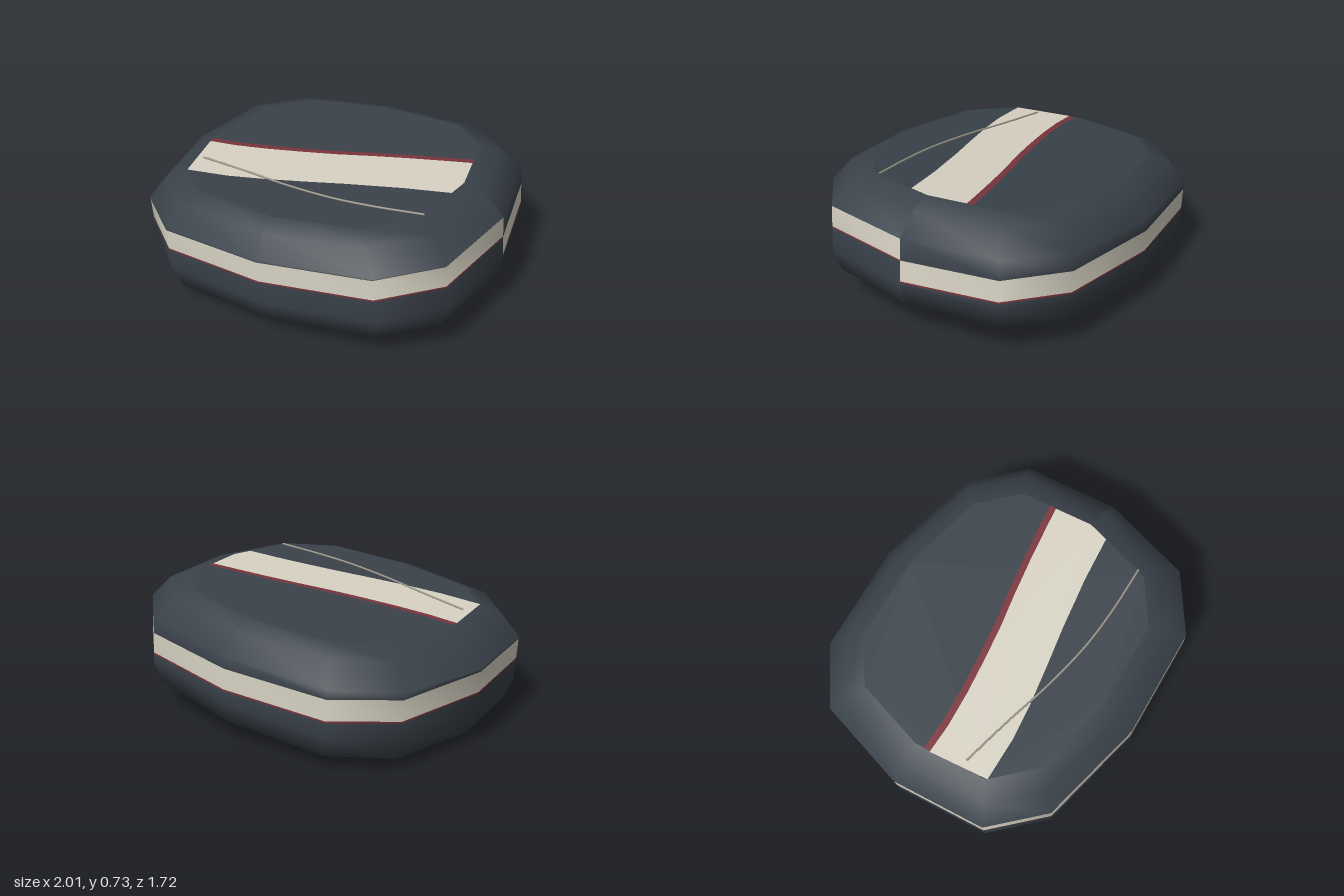
import * as THREE from 'three';

const material = (name, color, side = THREE.FrontSide) => {
  const m = new THREE.MeshStandardMaterial({ color, side });
  m.name = name;
  return m;
};

// Rounded twelve-sided outline, from +x through +z and back to +x
const quarter = [[1, 0], [0.905, 0.535], [0.62, 0.78], [0, 0.86]];
const outline = [
  ...quarter,
  ...[2, 1, 0].map((i) => [-quarter[i][0], quarter[i][1]]),
  ...[1, 2, 3].map((i) => [-quarter[i][0], -quarter[i][1]]),
  ...[2, 1, 0].map((i) => [quarter[i][0], -quarter[i][1]]),
];

// Height of the spiralling band at a column; it steps down where it meets itself
const bandLevel = (c) => (c <= 6
  ? THREE.MathUtils.lerp(0.023, 0.01, c / 6)
  : THREE.MathUtils.lerp(0.01, -0.097, (c - 6) / 6));

// Rows of the side wall: scale, height, and the material slot below the row
const rows = [
  [0.78, () => 0.3, 0],
  [0.897, () => 0.264, 0],
  [1, () => 0.142, 0],
  [1, (c) => bandLevel(c) + 0.117, 1],
  [1, (c) => bandLevel(c), 2],
  [1, (c) => bandLevel(c) - 0.01, 0],
  [1, () => -0.12, 0],
  [0.958, () => -0.24, 0],
  [0.79, () => -0.3, 0],
];

function sideWall() {
  const cols = outline.length;
  const positions = [];
  const indices = [];
  const g = new THREE.BufferGeometry();
  for (const [scale, height] of rows) {
    outline.forEach(([x, z], c) => positions.push(x * scale, height(c), z * scale));
  }
  for (let r = 0; r < rows.length - 1; r++) {
    const start = indices.length;
    for (let c = 0; c < cols - 1; c++) {
      const a = r * cols + c, d = a + cols;
      indices.push(a, a + 1, d, a + 1, d + 1, d);
    }
    g.addGroup(start, indices.length - start, rows[r][2]);
  }
  g.setAttribute('position', new THREE.Float32BufferAttribute(positions, 3));
  g.setIndex(indices);
  g.computeVertexNormals();
  // Smooth the shading across the seam
  const n = g.attributes.normal;
  for (let r = 0; r < rows.length; r++) {
    for (const i of [r * cols, r * cols + cols - 1]) {
      const v = new THREE.Vector3(n.getX(i), n.getY(i), 0).normalize();
      n.setXYZ(i, v.x, v.y, v.z);
    }
  }
  return g;
}

// Flat plate from x,z points, facing up (dir 1) or down (dir -1)
function plate(points, y, dir) {
  const shape = new THREE.Shape(points.map(([x, z]) => new THREE.Vector2(x, -dir * z)));
  return new THREE.ShapeGeometry(shape).rotateX(-dir * Math.PI / 2).translate(0, dir * y, 0);
}

export function createModel() {
  const dark = material('slate', 0x3a424a);
  const cream = material('cream', 0xd8d3c4);
  const red = material('dark red', 0x7a343c);
  const grey = material('warm grey', 0xa09a8c);

  const model = new THREE.Group();
  model.name = 'pebble';
  const body = new THREE.Group();
  body.name = 'tiltedBody';
  body.rotation.z = 0.077;
  body.position.y = 0.36;
  model.add(body);

  const add = (name, geometry, mat) => {
    const mesh = new THREE.Mesh(geometry, mat);
    mesh.name = name;
    body.add(mesh);
  };

  add('sideWithBand', sideWall(), [dark, cream, red]);

  // Upper and lower edges of the curved stripe
  const upper = [[-0.77, 0.09], [-0.6, 0.08], [-0.4, 0.05], [-0.2, 0.01], [0, -0.035],
    [0.2, -0.09], [0.4, -0.14], [0.6, -0.185], [0.74, -0.215]];
  const lower = [[0.78, 0], [0.76, 0.12], [0.5, 0.168], [0.2, 0.24], [0, 0.295],
    [-0.24, 0.357], [-0.45, 0.4], [-0.7, 0.425]];
  const redEdge = upper.map(([x, z]) => [x, z - 0.038]).reverse();

  // Flat faces with their stripes, above and below
  for (const [side, dir, scale] of [['top', 1, 0.78], ['bottom', -1, 0.79]]) {
    const rim = outline.slice(0, -1).map(([x, z]) => [x * scale, z * scale]);
    add(`${side}Face`, plate(rim, 0.3, dir), dark);
    add(`${side}Stripe`, plate([...upper, ...lower], 0.302, dir), cream);
    add(`${side}StripeEdge`, plate([...upper, ...redEdge], 0.302, dir), red);
  }

  // Thin curved thread lying across the top
  const path = new THREE.CatmullRomCurve3([[-0.69, 0.275], [-0.4, 0.318], [-0.1, 0.37],
    [0.2, 0.4], [0.45, 0.395], [0.72, 0.37]].map(([x, z]) => new THREE.Vector3(x, 0.305, z)));
  add('thread', new THREE.TubeGeometry(path, 32, 0.006, 6), grey);

  return model;
}
